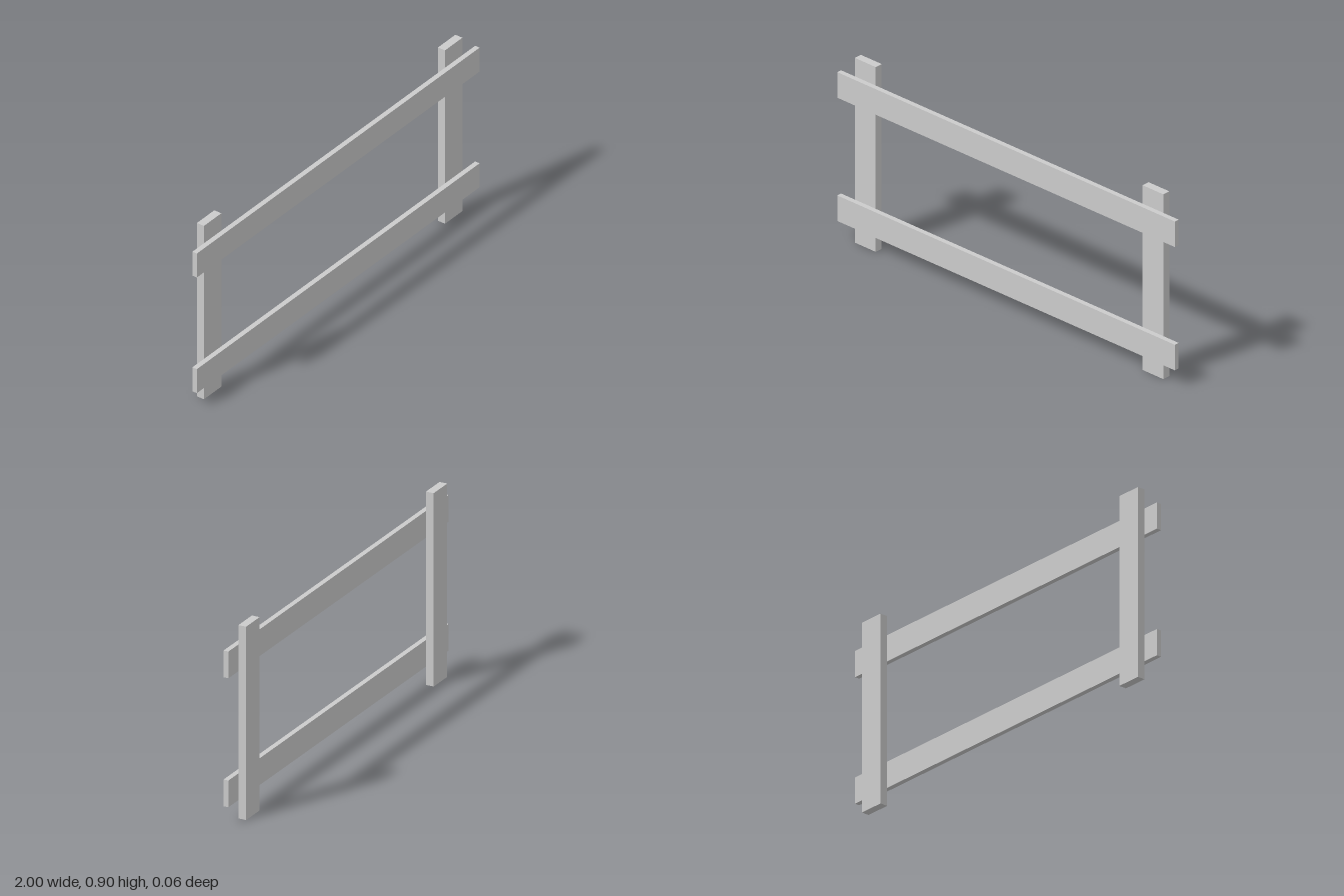
import * as THREE from 'three';

export function createModel() {
  const group = new THREE.Group();
  const material = new THREE.MeshStandardMaterial({ color: 0xcccccc, flatShading: true });

  // Adds a plank centred at (x, y, z)
  function plank(name, w, h, d, x, y, z) {
    const mesh = new THREE.Mesh(new THREE.BoxGeometry(w, h, d), material);
    mesh.name = name;
    mesh.position.set(x, y, z);
    group.add(mesh);
  }

  // Upright posts behind the rails
  plank('rightPost', 0.123, 0.904, 0.038, -0.857, 0.452, -0.012);
  plank('leftPost', 0.123, 0.904, 0.038, 0.848, 0.452, -0.012);

  // Horizontal rails fixed to the front of the posts
  plank('lowerRail', 2, 0.125, 0.024, 0, 0.148, 0.019);
  plank('upperRail', 2, 0.125, 0.024, 0, 0.751, 0.019);

  return group;
}
